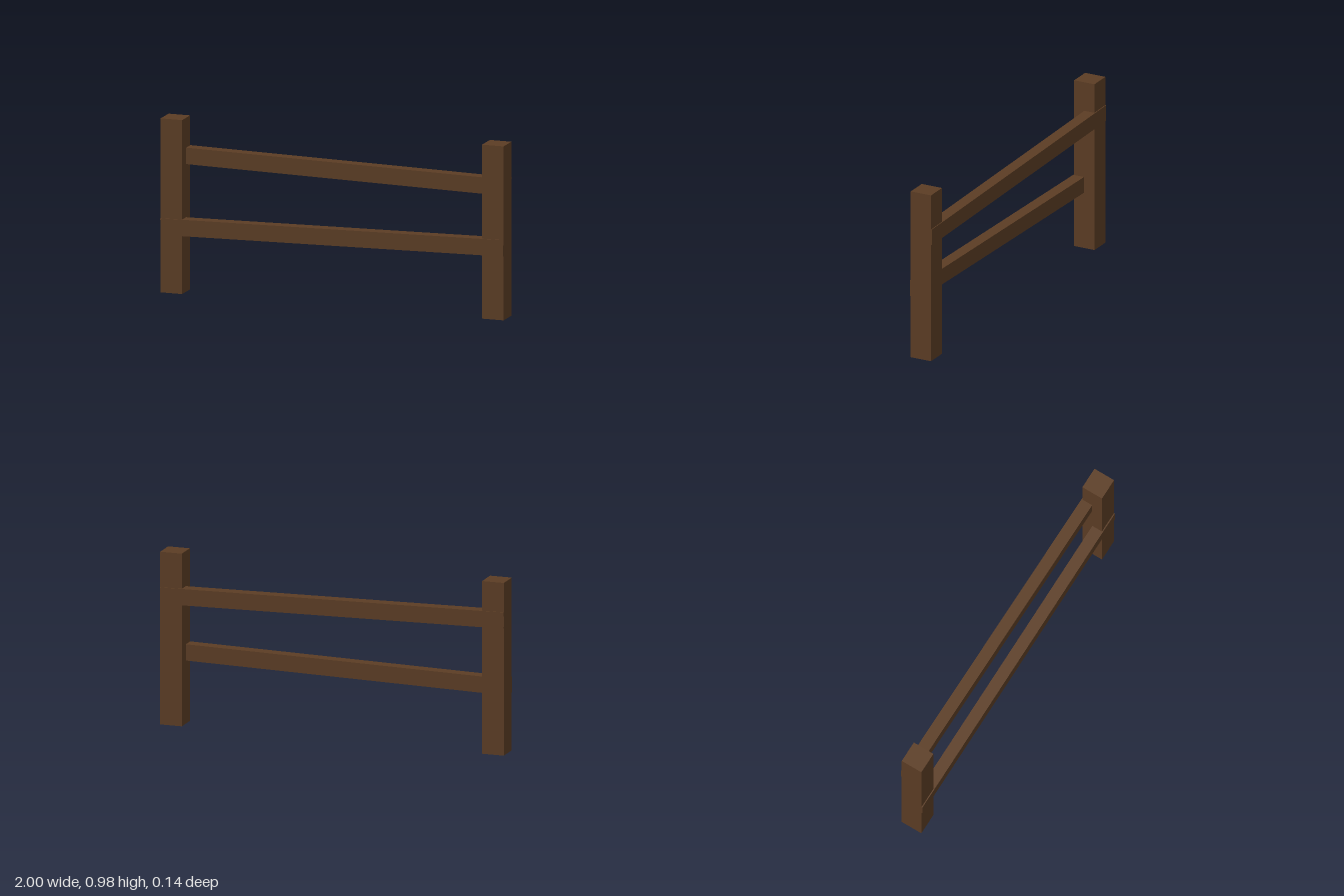
import * as THREE from 'three';

export function createModel() {
  const group = new THREE.Group();
  const wood = new THREE.MeshStandardMaterial({ color: 0x5c3d24 });
  wood.name = 'dark brown wood';

  const addBeam = (name, size, position, tilt = 0) => {
    const mesh = new THREE.Mesh(new THREE.BoxGeometry(...size), wood);
    mesh.name = name;
    mesh.position.set(...position);
    mesh.rotation.z = THREE.MathUtils.degToRad(tilt);
    group.add(mesh);
  };

  // Upright posts
  const postWidth = 0.126, postHeight = 0.975;
  for (const [name, side] of [['leftPost', 1], ['rightPost', -1]]) {
    addBeam(name, [postWidth, postHeight, postWidth], [side * (1 - postWidth / 2), postHeight / 2, 0]);
  }

  // Slightly crooked rails, one proud of the back and one proud of the front
  const rail = [1.998, 0.092, 0.068];
  addBeam('upperRail', rail, [0, 0.746, -0.034], -1);
  addBeam('lowerRail', rail, [0, 0.387, 0.035], 1);

  return group;
}
